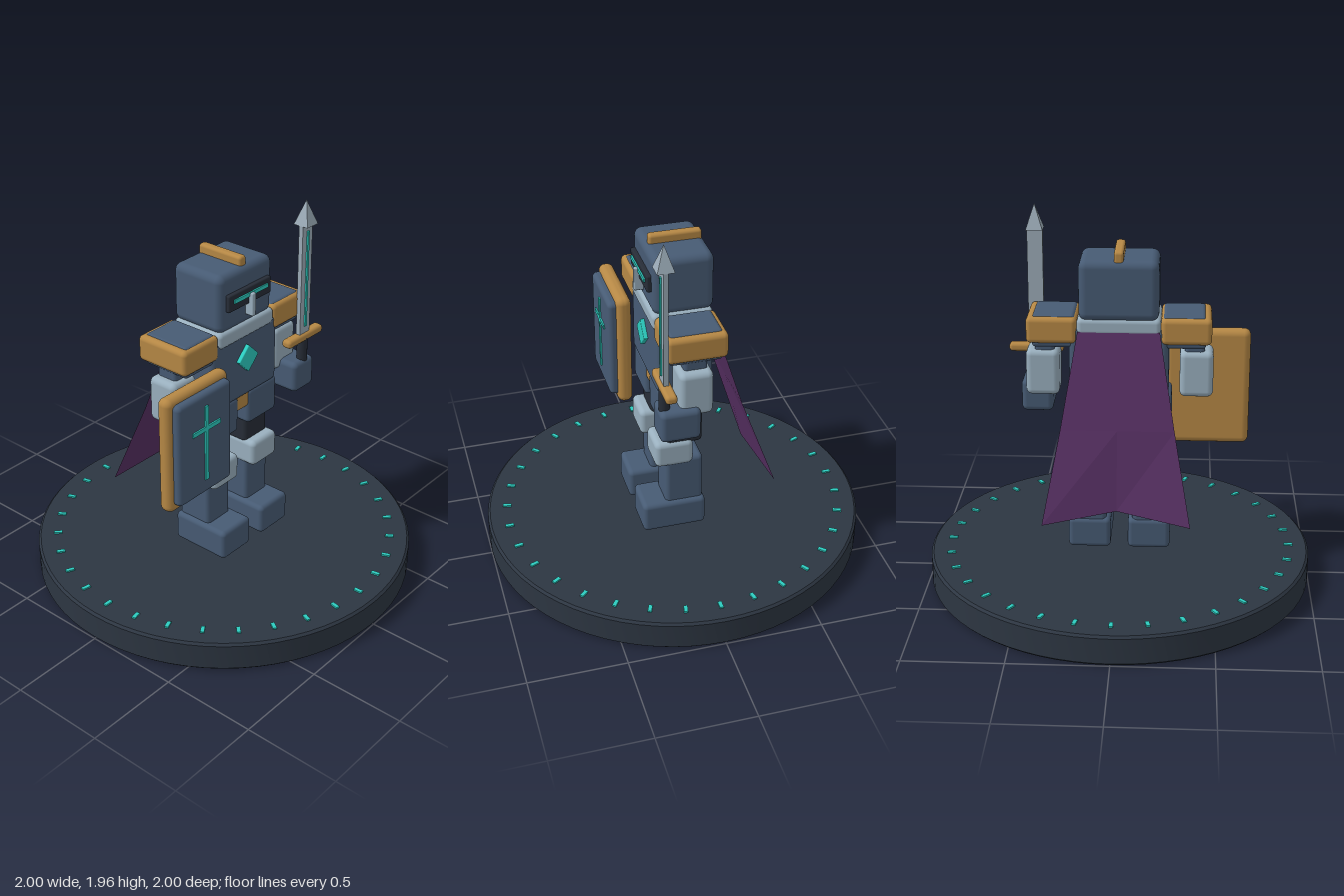
import * as THREE from 'three';
import { RoundedBoxGeometry } from 'three/addons/geometries/RoundedBoxGeometry.js';
import { toCreasedNormals } from 'three/addons/utils/BufferGeometryUtils.js';

const material = (name, color, extra = {}) => {
  const m = new THREE.MeshStandardMaterial({ color, ...extra });
  m.name = name;
  return m;
};

export function createModel() {
  const slate = material('slate armour', 0x475b74);
  const dark = material('dark cloth', 0x272d37);
  const stone = material('base stone', 0x2d3642);
  const silver = material('silver plate', 0x9ab0bf);
  const steel = material('blade steel', 0x9cacb8);
  const gold = material('gold trim', 0xb68845);
  const teal = material('teal glow', 0x2cccc0);
  const purple = material('purple cape', 0x573063, { side: THREE.DoubleSide, flatShading: true });

  const model = new THREE.Group();
  model.name = 'knight';

  const add = (name, geometry, mat, x = 0, y = 0, z = 0, parent = model) => {
    const mesh = new THREE.Mesh(geometry, mat);
    mesh.name = name;
    mesh.position.set(x, y, z);
    parent.add(mesh);
    return mesh;
  };
  // Box given by its limits on each axis, rounded when r > 0
  const block = (name, mat, [x0, x1], [y0, y1], [z0, z1], r = 0.025, parent = model) => {
    const size = [x1 - x0, y1 - y0, z1 - z0];
    const geometry = r > 0 ? new RoundedBoxGeometry(...size, 3, r) : new THREE.BoxGeometry(...size);
    return add(name, geometry, mat, (x0 + x1) / 2, (y0 + y1) / 2, (z0 + z1) / 2, parent);
  };
  // Same block on both sides of the body
  const pair = (name, mat, [x0, x1], ys, zs, r) => {
    block(name + 'Left', mat, [x0, x1], ys, zs, r);
    block(name + 'Right', mat, [-x1, -x0], ys, zs, r);
  };

  // Round base with a softened rim and a ring of glowing marks
  const rim = [[0, 0], [0.988, 0], [1, 0.012], [1, 0.146], [0.988, 0.158], [0, 0.158]];
  const baseShape = new THREE.LatheGeometry(rim.map(([x, y]) => new THREE.Vector2(x, y)), 72);
  add('base', toCreasedNormals(baseShape, 0.5), stone);
  const marks = new THREE.Group();
  marks.name = 'baseMarks';
  model.add(marks);
  const markShape = new THREE.BoxGeometry(0.045, 0.009, 0.02);
  for (let i = 0; i < 32; i++) {
    const a = (i / 32) * Math.PI * 2;
    const mark = add('baseMark', markShape, teal, Math.cos(a) * 0.895, 0.162, -Math.sin(a) * 0.895, marks);
    mark.rotation.y = a;
  }

  // Legs
  pair('boot', slate, [0.045, 0.265], [0.175, 0.34], [-0.11, 0.225], 0.025);
  pair('shin', slate, [0.068, 0.242], [0.31, 0.6], [-0.1, 0.1], 0.025);
  pair('knee', silver, [0.058, 0.252], [0.565, 0.71], [-0.045, 0.155], 0.028);
  pair('thigh', dark, [0.062, 0.238], [0.685, 0.92], [-0.097, 0.097], 0.025);
  pair('hipPlate', slate, [0.038, 0.266], [0.83, 1.03], [-0.08, 0.135], 0.025);

  // Body
  block('belt', gold, [-0.22, 0.22], [0.93, 1.04], [-0.125, 0.125], 0.025);
  block('torso', slate, [-0.25, 0.25], [1.02, 1.4], [-0.143, 0.145], 0.03);
  block('collar', silver, [-0.21, 0.21], [1.36, 1.447], [-0.152, 0.155], 0.025);
  const gem = block('chestGem', teal, [-0.053, 0.053], [1.192, 1.298], [0.135, 0.166], 0.005);
  gem.rotation.z = Math.PI / 4;

  // Helmet
  block('helmet', slate, [-0.2, 0.2], [1.435, 1.742], [-0.16, 0.148], 0.04);
  block('crest', gold, [-0.024, 0.024], [1.72, 1.787], [-0.145, 0.123], 0.015);
  block('visor', dark, [-0.16, 0.16], [1.553, 1.642], [0.13, 0.17], 0.008);
  block('eyeSlit', teal, [-0.127, 0.127], [1.595, 1.615], [0.169, 0.178], 0);
  block('noseGuard', silver, [-0.013, 0.013], [1.49, 1.613], [0.14, 0.196], 0.006);

  // Shoulders and arms
  pair('shoulderTrim', gold, [0.21, 0.463], [1.315, 1.45], [-0.155, 0.152], 0.025);
  pair('shoulderPlate', slate, [0.22, 0.435], [1.29, 1.456], [-0.135, 0.135], 0.02);
  pair('upperArm', slate, [0.33, 0.43], [1.2, 1.32], [-0.06, 0.06], 0.02);
  pair('forearm', silver, [0.305, 0.475], [1.015, 1.255], [-0.08, 0.09], 0.03);
  block('swordHand', slate, [0.345, 0.507], [0.9, 1.07], [-0.01, 0.195], 0.028);

  // Shield with a glowing cross
  const shield = new THREE.Group();
  shield.name = 'shield';
  model.add(shield);
  block('shieldRim', gold, [-0.67, -0.228], [0.673, 1.302], [0.15, 0.23], 0.035, shield);
  block('shieldFace', slate, [-0.64, -0.255], [0.715, 1.272], [0.2, 0.27], 0.025, shield);
  block('shieldCrossUpright', teal, [-0.46, -0.437], [0.797, 1.21], [0.269, 0.278], 0, shield);
  block('shieldCrossBar', teal, [-0.547, -0.35], [1.075, 1.098], [0.269, 0.278], 0, shield);

  // Sword
  const sword = new THREE.Group();
  sword.name = 'sword';
  model.add(sword);
  add('grip', new THREE.CylinderGeometry(0.028, 0.028, 0.2, 16), dark, 0.44, 1.1, 0.162, sword);
  block('guard', gold, [0.3, 0.583], [1.175, 1.22], [0.132, 0.19], 0.018, sword);
  block('blade', steel, [0.4, 0.48], [1.215, 1.827], [0.15, 0.175], 0, sword);
  block('bladeGlow', teal, [0.433, 0.447], [1.26, 1.79], [0.174, 0.183], 0, sword);
  const tipShape = new THREE.ConeGeometry(0.061, 0.13, 4).rotateY(Math.PI / 4).toNonIndexed();
  tipShape.computeVertexNormals();
  add('bladeTip', tipShape, steel, 0.44, 1.89, 0.162, sword);

  // Cape: rows of left edge, middle and right edge, from neck to hem
  const rows = [
    { x: 0.205, y: 1.38, z: -0.15, midY: 1.38, midZ: -0.15 },
    { x: 0.285, y: 0.91, z: -0.29, midY: 0.91, midZ: -0.29 },
    { x: 0.37, y: 0.46, z: -0.45, midY: 0.515, midZ: -0.383 },
  ];
  const points = rows.flatMap((r) => [r.x, r.y, r.z, 0, r.midY, r.midZ, -r.x, r.y, r.z]);
  const faces = [];
  for (let r = 0; r < 2; r++) {
    for (let c = 0; c < 2; c++) {
      const a = r * 3 + c;
      faces.push(a, a + 1, a + 3, a + 1, a + 4, a + 3);
    }
  }
  const capeShape = new THREE.BufferGeometry();
  capeShape.setAttribute('position', new THREE.Float32BufferAttribute(points, 3));
  capeShape.setIndex(faces);
  capeShape.computeVertexNormals();
  // Outward (rear) side must be the front face
  if (capeShape.attributes.normal.getZ(0) > 0) {
    capeShape.setIndex(faces.reverse());
    capeShape.computeVertexNormals();
  }
  add('cape', capeShape, purple);

  return model;
}
